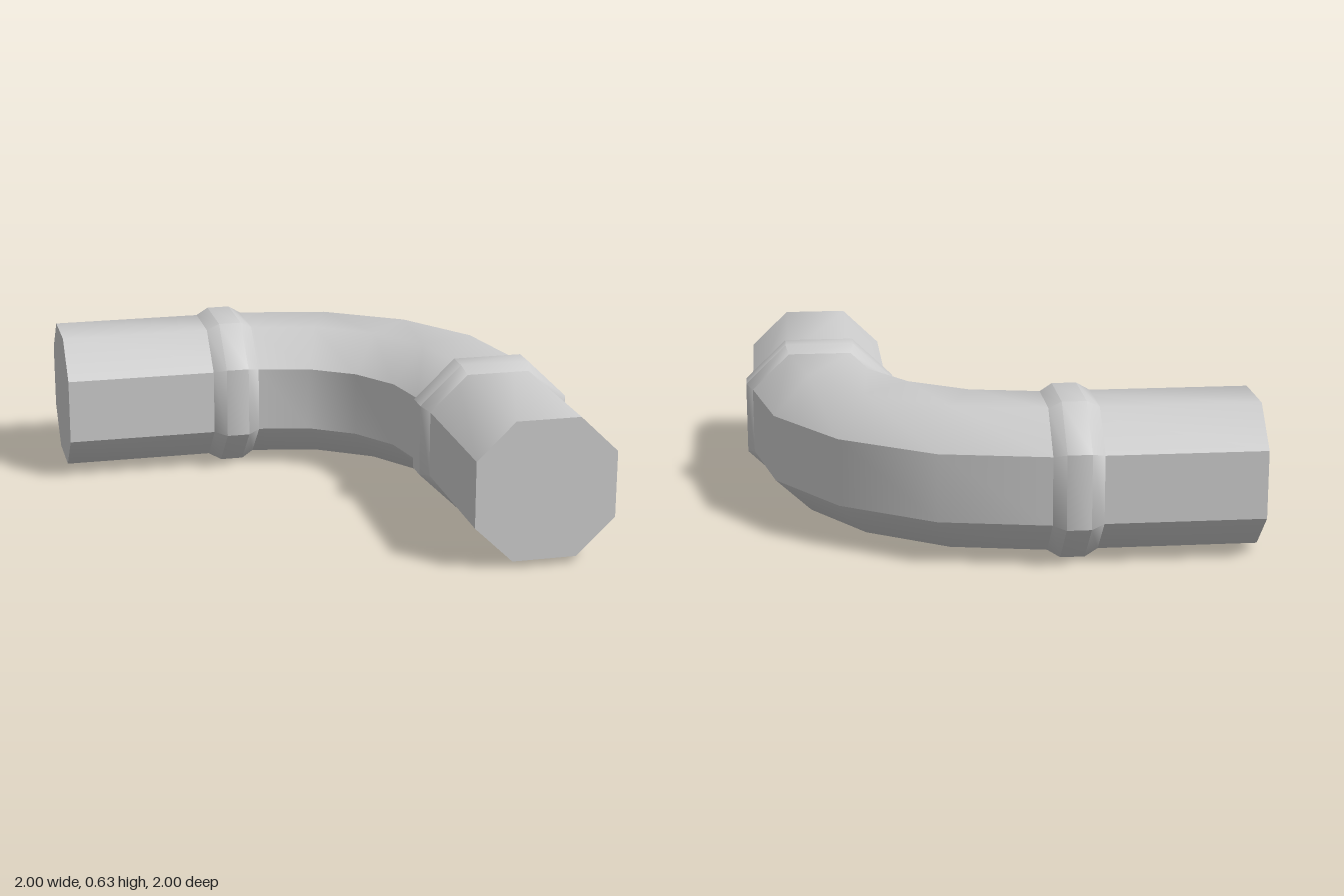
import * as THREE from 'three';
import { toCreasedNormals } from 'three/addons/utils/BufferGeometryUtils.js';

const material = new THREE.MeshStandardMaterial({ color: 0xcccccc });

// Octagonal section (outward, up): flat top and bottom, sharp edges beside the walls
const A = 0.287, TOP = 0.131, SIDE = 0.1364;
const SECTION = [
  [A, -SIDE], [A, SIDE], [TOP, A], [-TOP, A],
  [-A, SIDE], [-A, -SIDE], [-TOP, -A], [TOP, -A],
];
const CENTRE = -0.165, RADIUS = 0.85, HEIGHT = 0.315;
const QUARTER = Math.PI / 2;

// A ring of the elbow at turn angle t, pushed d along the tangent and scaled
function ring(t, d = 0, scale = 1) {
  const s = Math.sin(t), c = Math.cos(t);
  return SECTION.map(([u, v]) => new THREE.Vector3(
    CENTRE + (RADIUS + u * scale) * s + d * c,
    HEIGHT + v * scale,
    -CENTRE - (RADIUS + u * scale) * c + d * s,
  ));
}

// Skin successive rings, optionally closing either end
function loft(name, rings, capStart = false, capEnd = false) {
  const n = SECTION.length, positions = [];
  const tri = (...points) => points.forEach((p) => positions.push(p.x, p.y, p.z));
  for (let k = 0; k < rings.length - 1; k++) {
    const a = rings[k], b = rings[k + 1];
    for (let i = 0; i < n; i++) {
      const j = (i + 1) % n;
      tri(a[i], a[j], b[j]);
      tri(a[i], b[j], b[i]);
    }
  }
  const first = rings[0], last = rings[rings.length - 1];
  for (let i = 1; i < n - 1; i++) {
    if (capStart) tri(first[0], first[i + 1], first[i]);
    if (capEnd) tri(last[0], last[i], last[i + 1]);
  }
  const geometry = new THREE.BufferGeometry();
  geometry.setAttribute('position', new THREE.Float32BufferAttribute(positions, 3));
  const mesh = new THREE.Mesh(toCreasedNormals(geometry, Math.PI / 4), material);
  mesh.name = name;
  return mesh;
}

export function createModel() {
  const group = new THREE.Group();
  group.name = 'pipeElbow';

  // Curved bend in four segments
  const steps = 4;
  group.add(loft('bend', Array.from({ length: steps + 1 }, (_, i) => ring(QUARTER * i / steps))));

  // Straight arms, running out from the bend
  group.add(loft('rearPipe', [ring(0, -0.835), ring(0, 0)], true, false));
  group.add(loft('frontPipe', [ring(QUARTER, 0), ring(QUARTER, 0.835)], false, true));

  // Bevelled collars where the arms meet the bend
  const profile = [[0, 1], [0.05, 1.098], [0.147, 1.098], [0.2, 1]];
  group.add(loft('rearCollar', profile.map(([d, s]) => ring(0, -d, s)).reverse()));
  group.add(loft('frontCollar', profile.map(([d, s]) => ring(QUARTER, d, s))));

  return group;
}
